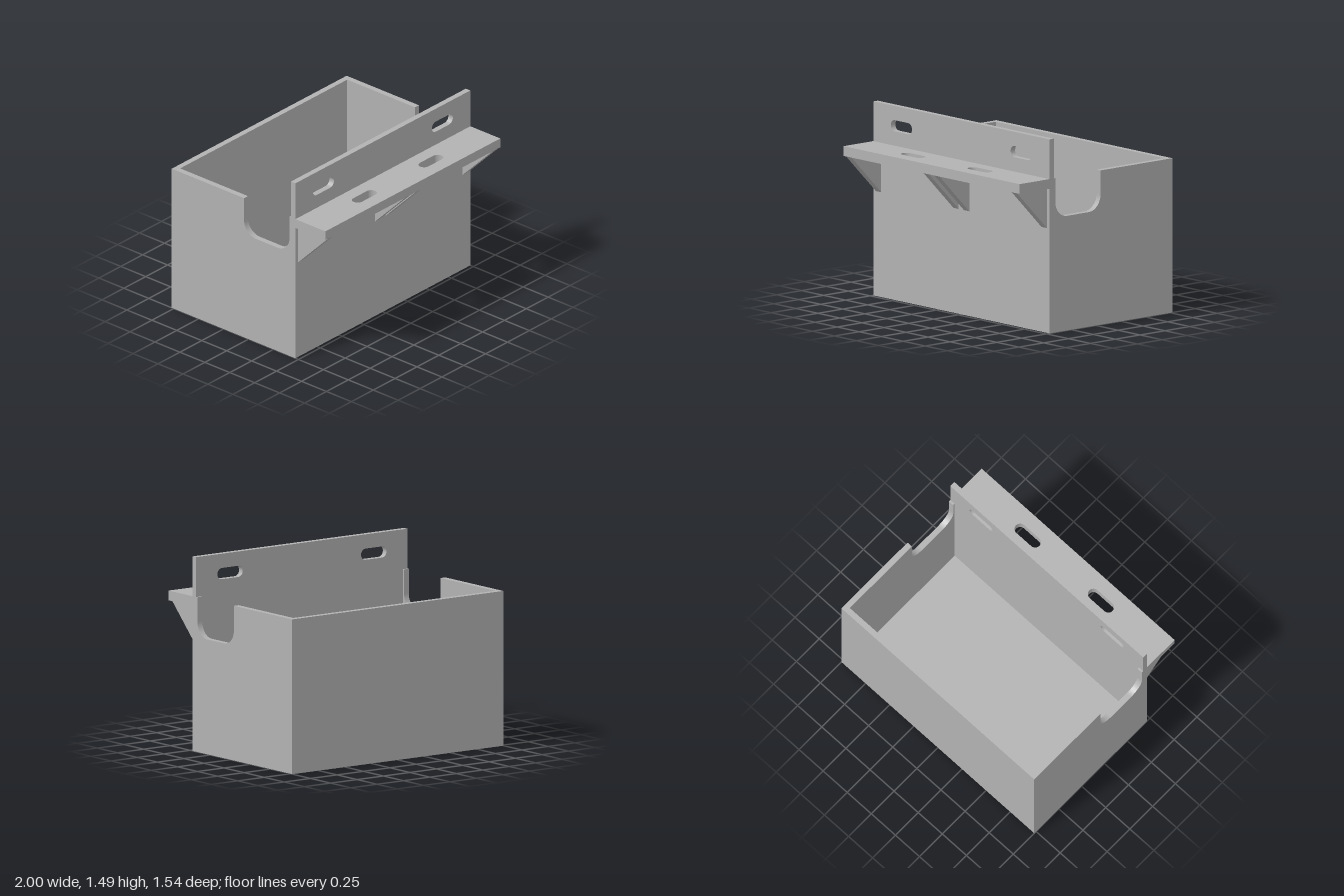
import * as THREE from 'three';
import { toCreasedNormals } from 'three/addons/utils/BufferGeometryUtils.js';

const WALL = 0.045;
const BACK = -0.77, FRONT = 0.47, RIM = 1.185, TOP = 1.49;
const LEDGE_BOTTOM = 1.11, LEDGE_FRONT = 0.77;

// Closed outline from corner points
function polygon(points) {
  return new THREE.Shape(points.map(([x, y]) => new THREE.Vector2(x, y)));
}

// Horizontal slot with rounded ends
function slot(x, y, length, height) {
  const r = height / 2, d = length / 2 - r;
  const path = new THREE.Path();
  path.moveTo(x - d, y - r);
  path.lineTo(x + d, y - r);
  path.absarc(x + d, y, r, -Math.PI / 2, Math.PI / 2, false);
  path.lineTo(x - d, y + r);
  path.absarc(x - d, y, r, Math.PI / 2, Math.PI * 1.5, false);
  return path;
}

// Extrusion with smooth curves and sharp edges
function extrude(shape, depth) {
  const geometry = new THREE.ExtrudeGeometry(shape, { depth, bevelEnabled: false, curveSegments: 16 });
  return toCreasedNormals(geometry, 0.6);
}

// Extrude a (z, y) outline along x, centred on x
function extrudeAcross(shape, thickness, x) {
  return extrude(shape, thickness).rotateY(-Math.PI / 2).translate(x + thickness / 2, 0, 0);
}

export function createModel() {
  const model = new THREE.Group();
  model.name = 'mountingBox';
  const grey = new THREE.MeshStandardMaterial({ color: 0xb2b2b2 });
  grey.name = 'grey';

  const add = (name, geometry) => {
    const mesh = new THREE.Mesh(geometry, grey);
    mesh.name = name;
    model.add(mesh);
  };

  // Floor and back wall
  const innerDepth = FRONT - BACK - 2 * WALL;
  add('floor', new THREE.BoxGeometry(2 - 2 * WALL, WALL, innerDepth)
    .translate(0, WALL / 2, (FRONT + BACK) / 2));
  add('backWall', new THREE.BoxGeometry(2, RIM, WALL).translate(0, RIM / 2, BACK + WALL / 2));

  // Tall front wall with two slots
  const front = polygon([[-1, 0], [1, 0], [1, TOP], [-1, TOP]]);
  for (const s of [-1, 1]) front.holes.push(slot(s * 0.68, 1.338, 0.24, 0.086));
  add('frontWall', extrude(front, WALL).translate(0, 0, FRONT - WALL));

  // Side walls with a round-cornered notch in the rim
  const n0 = -0.045, n1 = 0.41, low = 0.88, r = 0.12;
  const side = new THREE.Shape();
  side.moveTo(BACK + WALL, 0);
  side.lineTo(FRONT - WALL, 0);
  side.lineTo(FRONT - WALL, RIM);
  side.lineTo(n1, RIM);
  side.lineTo(n1, low + r);
  side.absarc(n1 - r, low + r, r, 0, -Math.PI / 2, true);
  side.lineTo(n0 + r, low);
  side.absarc(n0 + r, low + r, r, -Math.PI / 2, -Math.PI, true);
  side.lineTo(n0, RIM);
  side.lineTo(BACK + WALL, RIM);
  add('leftWall', extrudeAcross(side, WALL, 1 - WALL / 2));
  add('rightWall', extrudeAcross(side, WALL, -1 + WALL / 2));

  // Projecting ledge with two slots
  const ledge = polygon([[-1, FRONT], [1, FRONT], [1, LEDGE_FRONT], [-1, LEDGE_FRONT]]);
  for (const s of [-1, 1]) ledge.holes.push(slot(s * 0.38, 0.618, 0.24, 0.086));
  add('ledge', extrude(ledge, RIM - LEDGE_BOTTOM).rotateX(Math.PI / 2).translate(0, RIM, 0));

  // Triangular braces under the ledge
  const brace = polygon([[FRONT, 0.805], [LEDGE_FRONT, LEDGE_BOTTOM], [FRONT, LEDGE_BOTTOM]]);
  for (const x of [-0.94, -0.06, 0.06, 0.94]) add('brace', extrudeAcross(brace, 0.06, x));

  return model;
}
